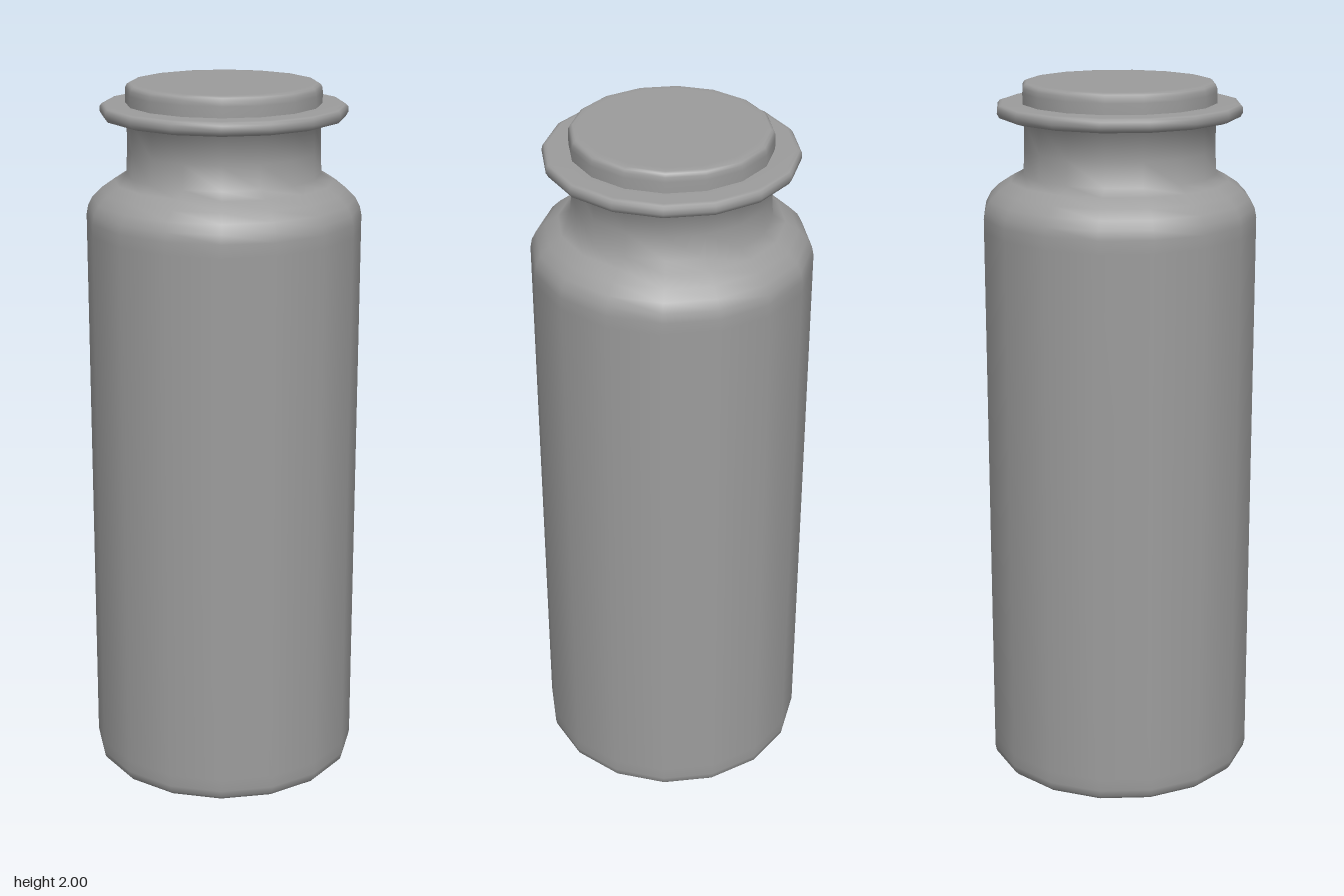
import * as THREE from 'three';

const SIDES = 16;

// Revolves a list of profile strips; each break between strips is a sharp edge.
function turned(name, strips, material) {
  const group = new THREE.Group();
  group.name = name;
  strips.forEach((strip, i) => {
    const points = strip.map(([r, y]) => new THREE.Vector2(r, y));
    const mesh = new THREE.Mesh(new THREE.LatheGeometry(points, SIDES), material);
    mesh.name = `${name}Surface${i + 1}`;
    group.add(mesh);
  });
  return group;
}

export function createModel() {
  const model = new THREE.Group();
  model.name = 'stopperedJar';
  const material = new THREE.MeshStandardMaterial({ color: 0x9c9c9c });

  // Body: base, softened foot, straight wall, rounded shoulder flowing into the neck and rim
  model.add(turned('body', [
    [
      [0, 0], [0.35, 0], [0.368, 0.004], [0.379, 0.016], [0.383, 0.035], [0.383, 0.07],
      [0.383, 1.6], [0.383, 1.635], [0.378, 1.66], [0.365, 1.685], [0.34, 1.71],
      [0.305, 1.733], [0.27, 1.752], [0.267, 1.82], [0.267, 1.905], [0.318, 1.905],
      [0.334, 1.91], [0.341, 1.922], [0.34, 1.936], [0.334, 1.943], [0.325, 1.945], [0.267, 1.945],
    ],
  ], material));

  // Stopper: low disc with a small rounded top edge
  model.add(turned('stopper', [
    [[0.27, 1.944], [0.27, 1.975], [0.269, 1.988], [0.265, 1.996], [0.258, 2], [0.24, 2], [0, 2]],
  ], material));

  return model;
}
